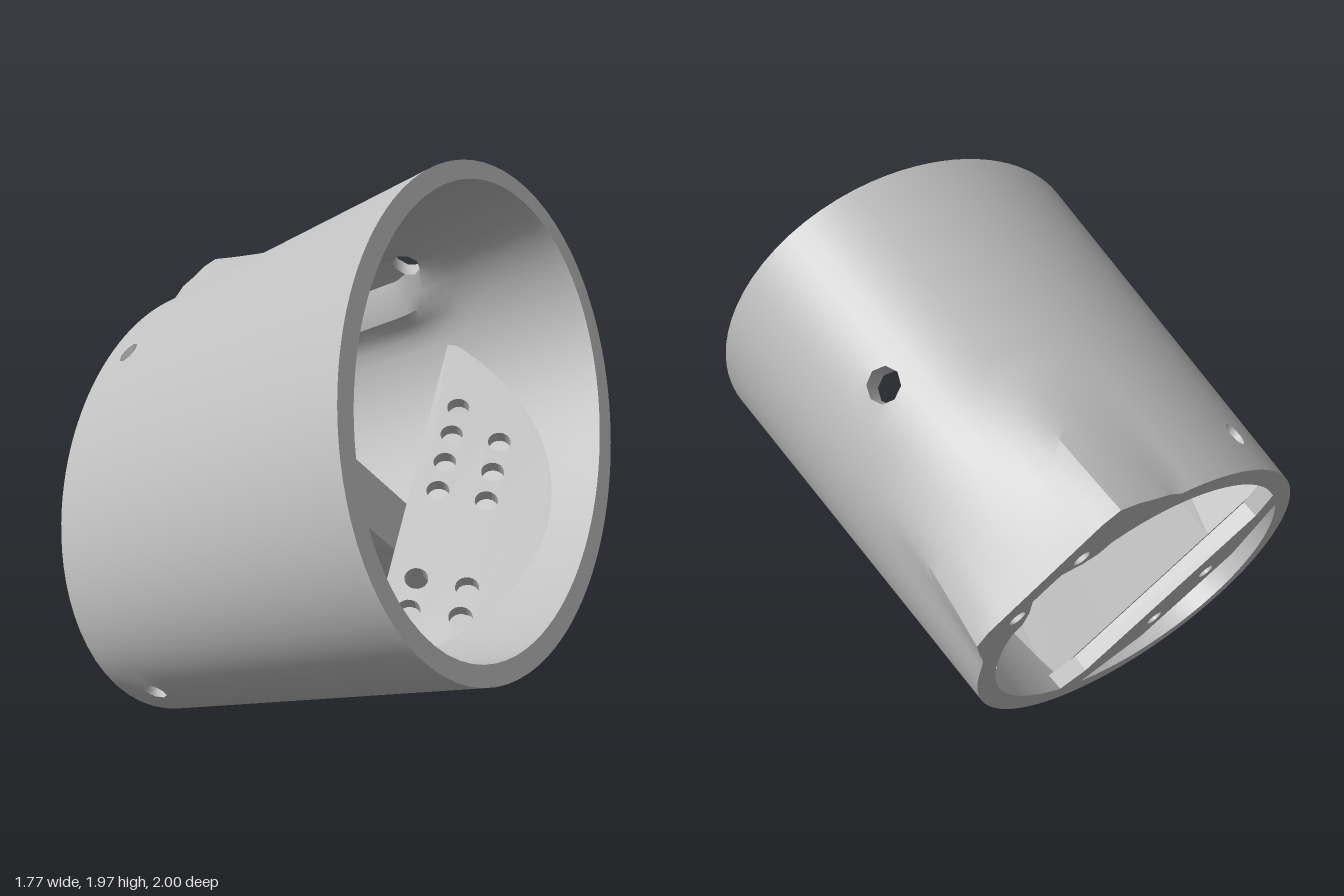
import * as THREE from 'three';
import { toCreasedNormals } from 'three/addons/utils/BufferGeometryUtils.js';

const BACK = -0.315, FRONT = 1.1, N = 96, M = 28;
const lerp = THREE.MathUtils.lerp, clamp = THREE.MathUtils.clamp;
const DEG = Math.PI / 180, TURN = 42 * DEG;
const along = (w) => (w - BACK) / (FRONT - BACK);

// Sleeve frame: p on the long axis of the oval, q on the short axis, w along the tilted bore
function place(p, q, w) {
  const t = along(w), c = Math.cos(TURN), s = Math.sin(TURN);
  const x = lerp(0.015, -0.035, t) + p * c - q * s;
  const y = lerp(0.885, 0.837, t) + p * s + q * c;
  return new THREE.Vector3(x, y * 0.916 + w * 0.402, -y * 0.402 + w * 0.916);
}

// Moves every vertex of a geometry by a rule returning [p, q, w]
function bend(geo, rule) {
  const pos = geo.attributes.position;
  for (let i = 0; i < pos.count; i++) {
    const v = place(...rule(pos.getX(i), pos.getY(i), pos.getZ(i)));
    pos.setXYZ(i, v.x, v.y, v.z);
  }
  geo.computeVertexNormals();
  return geo;
}

// Flared lug at the back end of the long axis
const LUG = [[0.645, -0.412], [0.733, -0.344], [0.903, -0.275], [0.95, -0.25], [0.968, -0.217],
  [0.977, 0.27], [0.965, 0.32], [0.93, 0.353], [0.85, 0.37], [0.67, 0.437]];
function lugRadius(a) {
  const c = Math.cos(a), s = Math.sin(a);
  for (let i = 0; i < LUG.length - 1; i++) {
    const [x0, y0] = LUG[i], [x1, y1] = LUG[i + 1];
    const d0 = c * y0 - s * x0, d1 = c * y1 - s * x1;
    if (c > 0 && d0 <= 0 && d1 > 0) {
      const k = d0 / (d0 - d1);
      return Math.hypot(lerp(x0, x1, k), lerp(y0, y1, k));
    }
  }
  return 0;
}

function radius(a, w, inner) {
  const t = along(w), wall = inner ? 0.07 : 0;
  const A = lerp(0.91, 0.972, t) - wall, B = lerp(0.61, 0.68, t) - wall;
  const r = A * B / Math.hypot(B * Math.cos(a), A * Math.sin(a));
  if (!inner) {
    const k = clamp((0.28 - w) / (0.28 - BACK), 0, 1);
    return Math.max(r, lerp(r, lugRadius(a), k));
  }
  // pad with a channel inside the lug
  const off = Math.abs(Math.atan2(Math.sin(a), Math.cos(a))) / DEG;
  if (off > 16) return r;
  const k = clamp((0.62 - w) / 0.25, 0, 1);
  const flat = 0.785 / Math.cos(a);
  const pad = off > 9.4 ? Math.min(r, flat) : lerp(0.89, flat, clamp((off - 4.5) / 4.9, 0, 1));
  return lerp(r, pad, k);
}

// Radial screw holes: column, row, outer and inner radius
const HOLES = [[0, 16, 0.06, 0.055], [20, 3, 0.045, 0.03], [76, 3, 0.045, 0.03], [48, 3, 0.045, 0.03]];
const RING = [[1, 0], [1, 1], [0, 1], [-1, 1], [-1, 0], [-1, -1], [0, -1], [1, -1]];
const wrap = (d) => ((d + N * 1.5) % N) - N / 2;

function wallPoint(i, j, inner) {
  let a = i / N * Math.PI * 2, w = lerp(BACK, FRONT, j / M);
  for (const [hi, hj, ro, ri] of HOLES) {
    const di = wrap(i - hi), dj = j - hj;
    if (Math.max(Math.abs(di), Math.abs(dj)) !== 1) continue;
    const f = Math.atan2(dj, di), r = inner ? ri : ro;
    const ha = hi / N * Math.PI * 2, hw = lerp(BACK, FRONT, hj / M);
    a = ha + r * Math.cos(f) / radius(ha, hw, inner);
    w = hw + r * Math.sin(f);
  }
  const r = radius(a, w, inner);
  return place(r * Math.cos(a), r * Math.sin(a), w);
}

function build(points, index, crease) {
  const g = new THREE.BufferGeometry().setFromPoints(points);
  g.setIndex(index);
  return toCreasedNormals(g, crease);
}

function wallGeometry(inner) {
  const pts = [], idx = [];
  for (let j = 0; j <= M; j++) for (let i = 0; i < N; i++) pts.push(wallPoint(i, j, inner));
  for (let j = 0; j < M; j++) for (let i = 0; i < N; i++) {
    const open = HOLES.some(([hi, hj]) => [-1, 0].includes(wrap(i - hi)) && [-1, 0].includes(j - hj));
    if (open) continue;
    const a = j * N + i, b = j * N + (i + 1) % N, c = b + N, d = a + N;
    if (inner) idx.push(a, c, b, a, d, c);
    else idx.push(a, b, c, a, c, d);
  }
  return build(pts, idx, 0.5);
}

function liningGeometry([hi, hj]) {
  const pts = [], idx = [];
  RING.forEach(([di, dj], k) => {
    pts.push(wallPoint(hi + di, hj + dj, false), wallPoint(hi + di, hj + dj, true));
    const a = 2 * k, b = 2 * ((k + 1) % 8);
    idx.push(a, a + 1, b, b, a + 1, b + 1);
  });
  return build(pts, idx, 1);
}

const polygon = (pts) => new THREE.Shape(pts.map(([x, y]) => new THREE.Vector2(x, y)));
function drill(shape, x, y, r) {
  shape.holes.push(new THREE.Path().absarc(x, y, r, 0, Math.PI * 2, true));
}
const extrude = (shape, depth) =>
  new THREE.ExtrudeGeometry(shape, { depth, bevelEnabled: false, curveSegments: 10 });

function outline(w, inner) {
  return Array.from({ length: N }, (_, i) => {
    const a = i / N * Math.PI * 2, r = radius(a, w, inner);
    return [r * Math.cos(a), r * Math.sin(a)];
  });
}

export function createModel() {
  const group = new THREE.Group();
  const grey = new THREE.MeshStandardMaterial({ color: 0xbfbfbf, side: THREE.DoubleSide });
  grey.name = 'plainGrey';
  const add = (name, geo) => {
    const mesh = new THREE.Mesh(geo, grey);
    mesh.name = name;
    group.add(mesh);
  };

  // Sleeve walls and hole linings
  add('outerWall', wallGeometry(false));
  add('innerWall', wallGeometry(true));
  HOLES.forEach((h) => add('screwHoleLining', liningGeometry(h)));

  // Flat rims; the back one has two blind holes in the lug
  for (const [name, w] of [['frontRim', FRONT], ['backRim', BACK]]) {
    const s = polygon(outline(w, false));
    s.holes.push(polygon(outline(w, true)));
    if (w === BACK) for (const q of [-0.13, 0.13]) {
      drill(s, 0.87, q, 0.028);
      const tube = new THREE.CylinderGeometry(0.028, 0.028, 0.3, 12, 1, true);
      add('lugHole', bend(tube, (x, y, z) => [0.87 + x, q + z, BACK + 0.15 + y]));
    }
    add(name, bend(new THREE.ShapeGeometry(s), (x, y) => [x, y, w]));
  }

  // Leaning cross web with a notched front edge and two through holes
  const web = polygon([[-0.6, -0.25], [-0.25, -0.25], [0.25, -0.25], [0.6, -0.25],
    [0.6, 0.92], [0.31, 0.5], [-0.31, 0.5], [-0.6, 0.92]]);
  for (const q of [-0.127, 0.127]) drill(web, q, 0.34, 0.035);
  add('crossWeb', bend(extrude(web, 0.2), (q, w, z) => {
    let p = z - 0.25 - 0.29 * (0.5 - Math.min(w, 0.5));
    if (Math.abs(q) > 0.5) {
      if (w < 0 && z < 0.1) p += 0.13;
      const t = along(w), A = lerp(0.875, 0.937, t), B = lerp(0.575, 0.645, t);
      q = Math.sign(q) * B * Math.sqrt(1 - (p / A) ** 2);
    }
    return [p, q, w];
  }));

  // Back plate closing the foot of the web
  const plate = polygon([[-0.2, 0.56], [-0.28, 0.42], [-0.28, -0.42], [-0.2, -0.56],
    [-0.34, -0.53], [-0.49, -0.23], [-0.49, 0.23], [-0.34, 0.53]]);
  for (const q of [-0.13, 0.13]) drill(plate, -0.41, q, 0.032);
  add('backPlate', bend(extrude(plate, 0.065), (x, y, z) => [x, y, BACK + z]));

  // Sloping perforated shelf along the lower wall
  const edge = [[-0.72, 0], [0.72, 0]];
  for (let i = 0; i <= 24; i++) {
    const a = 0.72 - i * 0.06;
    edge.push([a, (0.61 * Math.sqrt(1 - (a / 0.92) ** 2) - 0.31) / 0.57]);
  }
  const shelf = polygon(edge);
  for (const a of [-0.48, -0.35, 0.03, 0.16, 0.29, 0.42]) drill(shelf, a, 0.1, 0.042);
  for (const a of [-0.47, -0.35, 0.02, 0.15, 0.29]) drill(shelf, a, 0.28, 0.042);
  add('perforatedShelf', bend(extrude(shelf, 0.05),
    (a, d, z) => [a, -0.31 - 0.57 * d - 0.82 * z, 0.5 + 0.82 * d - 0.57 * z]));

  return group;
}
